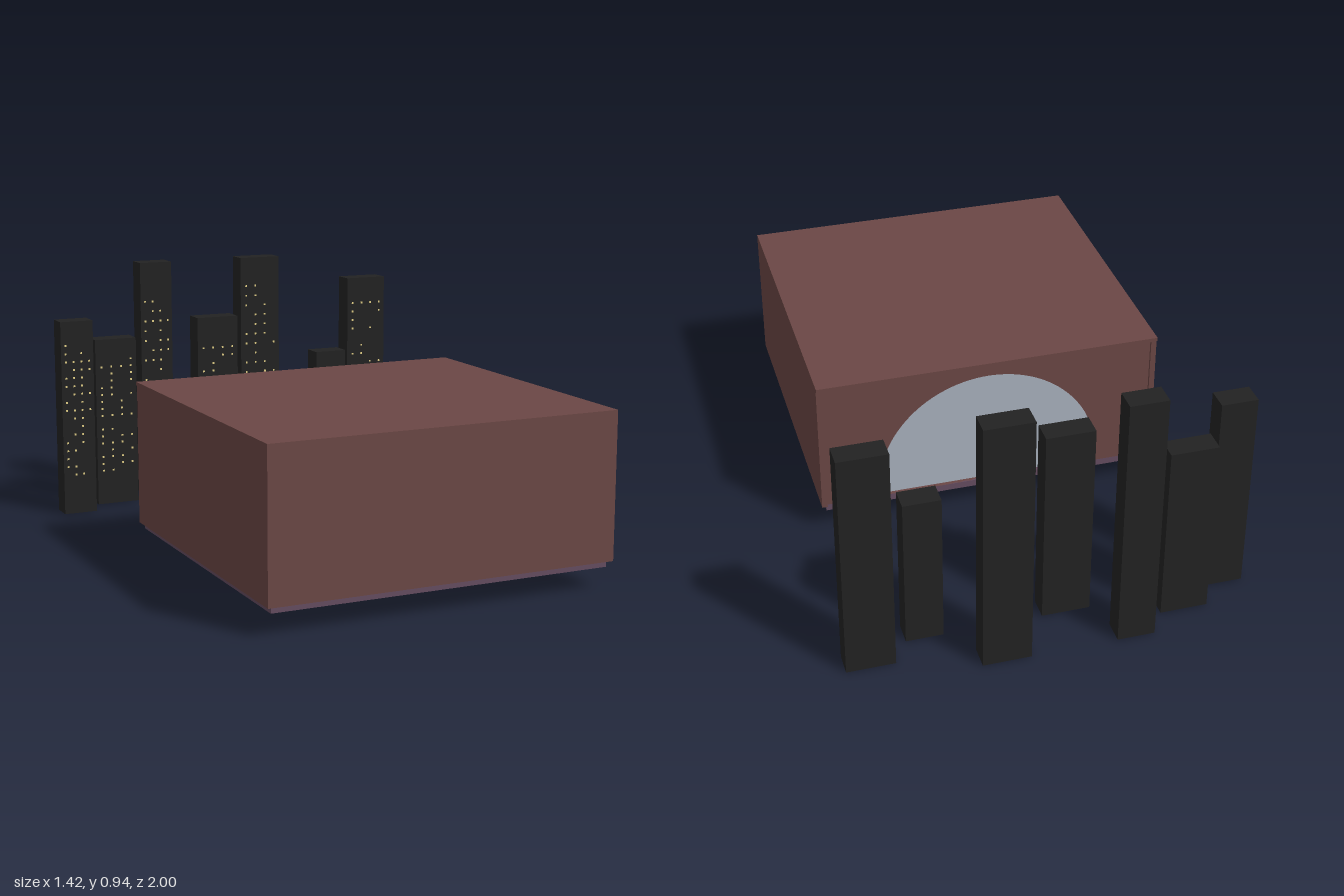
import * as THREE from 'three';

function makeMaterial(name, color) {
  const m = new THREE.MeshStandardMaterial({ color });
  m.name = name;
  return m;
}

export function createModel() {
  const model = new THREE.Group();
  model.name = 'roomWithSkyline';
  const wallMat = makeMaterial('brownWall', 0x6b4745);
  const floorMat = makeMaterial('purpleFloor', 0x654c60);
  const glassMat = makeMaterial('greyGlass', 0xa9b1bd);
  const towerMat = makeMaterial('blackTower', 0x222222);
  const lightMat = makeMaterial('yellowWindow', 0xe2cf86);

  // Box given by its limits on each axis
  function box(parent, name, mat, [x0, x1], [y0, y1], [z0, z1]) {
    const mesh = new THREE.Mesh(new THREE.BoxGeometry(x1 - x0, y1 - y0, z1 - z0), mat);
    mesh.position.set((x0 + x1) / 2, (y0 + y1) / 2, (z0 + z1) / 2);
    mesh.name = name;
    parent.add(mesh);
    return mesh;
  }

  // Room shell
  const room = new THREE.Group();
  room.name = 'room';
  model.add(room);
  const X0 = -0.62, X1 = 0.627, T = 0.02, Y0 = 0.097, Y1 = 0.594;
  box(room, 'floor', floorMat, [-0.603, 0.61], [0.075, 0.1], [-0.135, 0.983]);
  box(room, 'ceiling', wallMat, [X0, X1], [Y1, 0.607], [-0.153, 1]);
  box(room, 'rightWall', wallMat, [X0, X0 + T], [Y0, Y1], [-0.145, 1]);
  box(room, 'leftWall', wallMat, [X1 - T, X1], [Y0, Y1], [-0.145, 1]);
  box(room, 'frontWall', wallMat, [X0 + T, X1 - T], [Y0, Y1], [1 - T, 1]);

  // Arched outline shared by the opening and its glass
  const R = 0.41, CX = 0.004, CY = 0.135;
  function archPath(path, r) {
    path.moveTo(CX - r, Y0 + 0.003);
    path.lineTo(CX + r, Y0 + 0.003);
    path.lineTo(CX + r, CY);
    path.absarc(CX, CY, r, 0, Math.PI, false);
    path.closePath();
    return path;
  }

  // Back wall with the arched opening
  const wallShape = new THREE.Shape();
  wallShape.moveTo(X0 + T, Y0);
  wallShape.lineTo(X1 - T, Y0);
  wallShape.lineTo(X1 - T, Y1);
  wallShape.lineTo(X0 + T, Y1);
  wallShape.closePath();
  wallShape.holes.push(archPath(new THREE.Path(), R));
  const backWall = new THREE.Mesh(
    new THREE.ExtrudeGeometry(wallShape, { depth: 0.025, bevelEnabled: false, curveSegments: 32 }), wallMat);
  backWall.position.z = -0.135;
  backWall.name = 'backWall';
  room.add(backWall);

  // Glass pane, set back in the opening
  const glass = new THREE.Mesh(
    new THREE.ExtrudeGeometry(archPath(new THREE.Shape(), R), { depth: 0.006, bevelEnabled: false, curveSegments: 32 }), glassMat);
  glass.position.z = -0.12;
  glass.name = 'archedGlass';
  room.add(glass);

  // Skyline: left edge, right edge, back z, height
  const towers = [
    [-0.714, -0.586, -0.815, 0.748],
    [-0.547, -0.38, -0.91, 0.655],
    [-0.325, -0.194, -1, 0.935],
    [-0.157, 0.012, -0.815, 0.73],
    [0.105, 0.273, -1, 0.935],
    [0.357, 0.487, -0.815, 0.56],
    [0.543, 0.711, -0.91, 0.84],
  ];
  let seed = 7;
  const random = () => (seed = (seed * 16807) % 2147483647) / 2147483647;
  random();
  const skyline = new THREE.Group();
  skyline.name = 'skyline';
  model.add(skyline);
  const lightGeo = new THREE.BoxGeometry(0.007, 0.007, 0.004);
  towers.forEach(([x0, x1, z, h], n) => {
    const tower = new THREE.Group();
    tower.name = 'tower' + (n + 1);
    skyline.add(tower);
    box(tower, 'towerBlock', towerMat, [x0, x1], [0, h], [z, z + 0.081]);
    // Lit windows, four columns on the front only
    for (let row = 0; row < 17; row++) {
      for (let col = 0; col < 4; col++) {
        if (random() > 0.6) continue;
        const lit = new THREE.Mesh(lightGeo, lightMat);
        lit.name = 'litWindow';
        lit.position.set(x0 + (x1 - x0) * (0.14 + col * 0.24), h * (0.205 + row * 0.042), z + 0.082);
        tower.add(lit);
      }
    }
  });
  return model;
}
